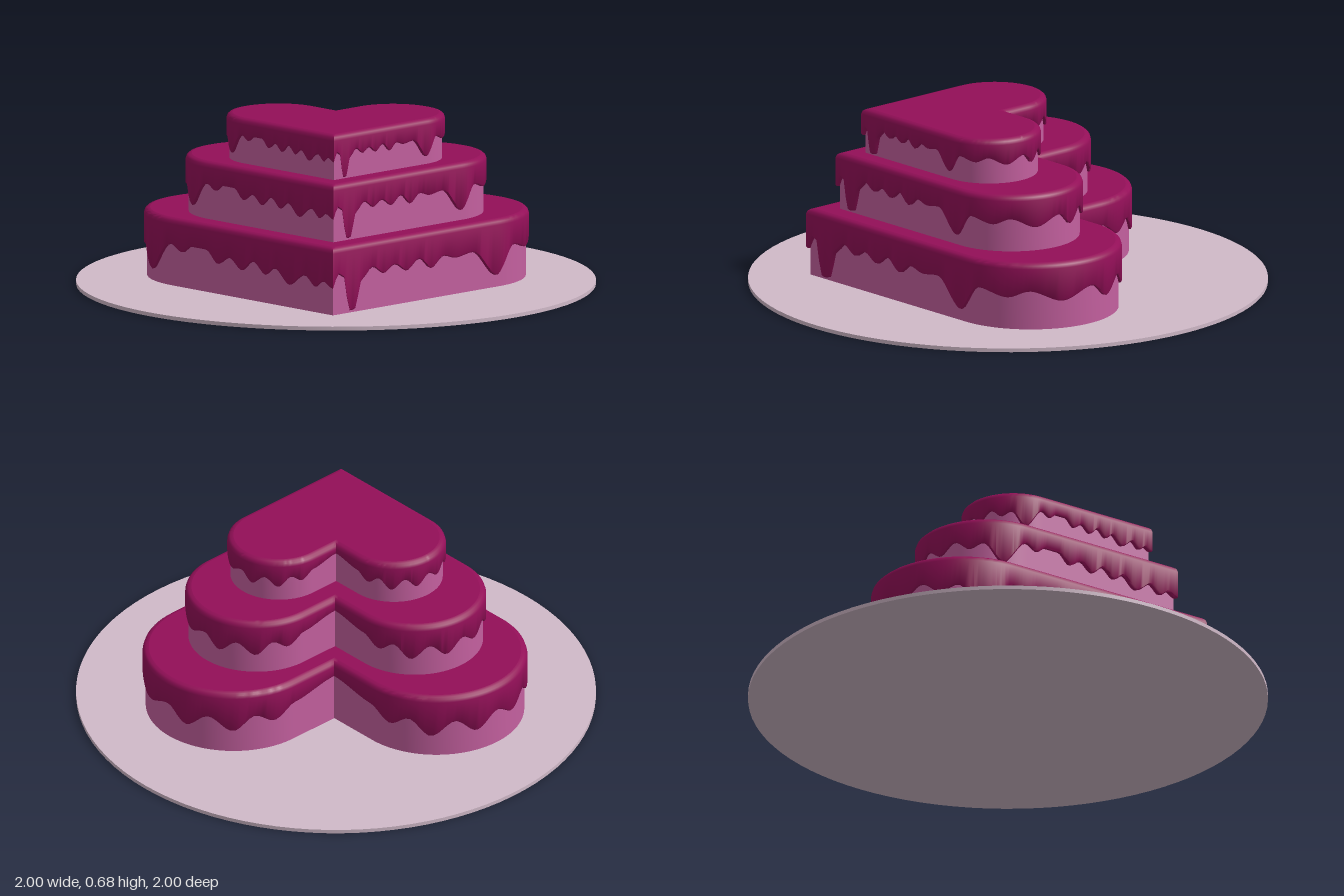
import * as THREE from 'three';
import { toCreasedNormals } from 'three/addons/utils/BufferGeometryUtils.js';

const icingMat = new THREE.MeshStandardMaterial({ color: 0x930f58, side: THREE.DoubleSide });
const spongeMat = new THREE.MeshStandardMaterial({ color: 0xc4609f });
const plateMat = new THREE.MeshStandardMaterial({ color: 0xd0b9c8 });

// Drip lengths [fraction of the outline, fraction of tier height], from tip to notch
const frontDrips = [[0, 0.6], [0.012, 0.52], [0.022, 0.62], [0.035, 0.48], [0.055, 0.66], [0.073, 0.46],
  [0.085, 0.58], [0.1, 0.42], [0.115, 0.58], [0.13, 0.43], [0.145, 0.55], [0.16, 0.37], [0.178, 0.37],
  [0.19, 0.48], [0.204, 0.38], [0.234, 0.82], [0.256, 0.46], [0.272, 0.56], [0.29, 0.4], [0.31, 0.58],
  [0.33, 0.42], [0.352, 0.64], [0.372, 0.42], [0.394, 0.66], [0.414, 0.4], [0.432, 0.55], [0.454, 0.36], [0.5, 0.25]];
const sideDrips = [[0, 0.6], [0.006, 0.4], [0.013, 0.45], [0.02, 0.96], [0.026, 0.96], [0.036, 0.52], [0.048, 0.38],
  [0.062, 0.5], [0.075, 0.4], [0.09, 0.52], [0.105, 0.38], [0.12, 0.55], [0.135, 0.4], [0.15, 0.46], [0.17, 0.42],
  [0.2, 0.82], [0.222, 0.42], [0.25, 0.52], [0.27, 0.42], [0.3, 0.58], [0.33, 0.42], [0.35, 0.64], [0.372, 0.42],
  [0.394, 0.64], [0.414, 0.4], [0.432, 0.54], [0.454, 0.36], [0.5, 0.25]];

function dripAt(u) {
  const table = u <= 0.5 ? frontDrips : sideDrips;
  const v = Math.min(u, 1 - u);
  let k = 1;
  while (k < table.length - 1 && table[k][0] < v) k++;
  const [a, da] = table[k - 1], [b, db] = table[k];
  return da + (db - da) * THREE.MathUtils.smoothstep(v, a, b);
}

// Heart outline shrunk by d: straight flank, round lobe, notch; then its mirror image across x = z
function heart({ tip, notch, lobe }, d) {
  const m = (tip + notch) / 2, r = (tip - notch) / 2 - d, t = tip - d, n = notch + d;
  const half = [];
  for (let i = 0; i < 60; i++) half.push([t + (lobe - t) * i / 60, t]);
  for (let i = 0; i < 60; i++) {
    const a = Math.PI * i / 60;
    half.push([lobe - r * Math.sin(a), m + r * Math.cos(a)]);
  }
  for (let i = 0; i <= 10; i++) half.push([lobe + (n - lobe) * i / 10, n]);
  const mirrored = half.slice(1, -1).reverse().map(([x, z]) => [z, x]);
  return [...half, ...mirrored];
}

const heartShape = (tier, d) =>
  new THREE.Shape(heart(tier, d).map(([x, z]) => new THREE.Vector2(x, -z)));

// Icing wall: rounded rim, then a skirt down to the drip edge and a lip back to the sponge
function icingSkirt(tier) {
  const { y0, y1 } = tier, h = y1 - y0;
  const outline = heart(tier, 0), count = outline.length;
  const lengths = [0];
  for (let i = 0; i < count; i++) {
    const [x, z] = outline[i], [p, q] = outline[(i + 1) % count];
    lengths.push(lengths[i] + Math.hypot(p - x, q - z));
  }
  const edge = lengths.slice(0, count).map(l => y1 - h * dripAt(l / lengths[count]));
  const rings = [
    [0.024, () => y1], [0.012, () => y1 - 0.003], [0.004, () => y1 - 0.01], [0, () => y1 - 0.022],
    [0, i => edge[i] + 0.006], [0.004, i => edge[i]], [0.014, i => edge[i]],
  ];
  const pos = [], index = [];
  rings.forEach(([d, y], r) => {
    heart(tier, d).forEach(([x, z], i) => {
      pos.push(x, y(i), z);
      if (r === rings.length - 1) return;
      const a = r * count + i, b = r * count + (i + 1) % count;
      index.push(a, b, b + count, a, b + count, a + count);
    });
  });
  const geo = new THREE.BufferGeometry();
  geo.setAttribute('position', new THREE.Float32BufferAttribute(pos, 3));
  geo.setIndex(index);
  return toCreasedNormals(geo, 0.8);
}

function add(parent, name, geo, mat) {
  const mesh = new THREE.Mesh(geo, mat);
  mesh.name = name;
  parent.add(mesh);
  return mesh;
}

function makeTier(tier) {
  const group = new THREE.Group();
  group.name = tier.name;
  const sponge = new THREE.ExtrudeGeometry(heartShape(tier, 0.012), {
    depth: tier.y1 - 0.02 - tier.y0, bevelEnabled: false,
  }).rotateX(-Math.PI / 2).translate(0, tier.y0, 0);
  add(group, 'sponge', toCreasedNormals(sponge, 0.6), spongeMat);
  add(group, 'icingSkirt', icingSkirt(tier), icingMat);
  const top = new THREE.ShapeGeometry(heartShape(tier, 0.024)).rotateX(-Math.PI / 2);
  add(group, 'icingTop', top, icingMat).position.y = tier.y1;
  return group;
}

export function createModel() {
  const cake = new THREE.Group();
  cake.name = 'tieredHeartCake';
  add(cake, 'plate', new THREE.CylinderGeometry(1, 1, 0.015, 96), plateMat).position.y = 0.0075;
  const tiers = [
    { name: 'bottomTier', tip: 0.55, notch: -0.15, lobe: -0.352, y0: 0.015, y1: 0.28 },
    { name: 'middleTier', tip: 0.47, notch: -0.08, lobe: -0.235, y0: 0.28, y1: 0.505 },
    { name: 'topTier', tip: 0.4, notch: 0, lobe: -0.112, y0: 0.505, y1: 0.682 },
  ];
  tiers.forEach(tier => cake.add(makeTier(tier)));
  return cake;
}
